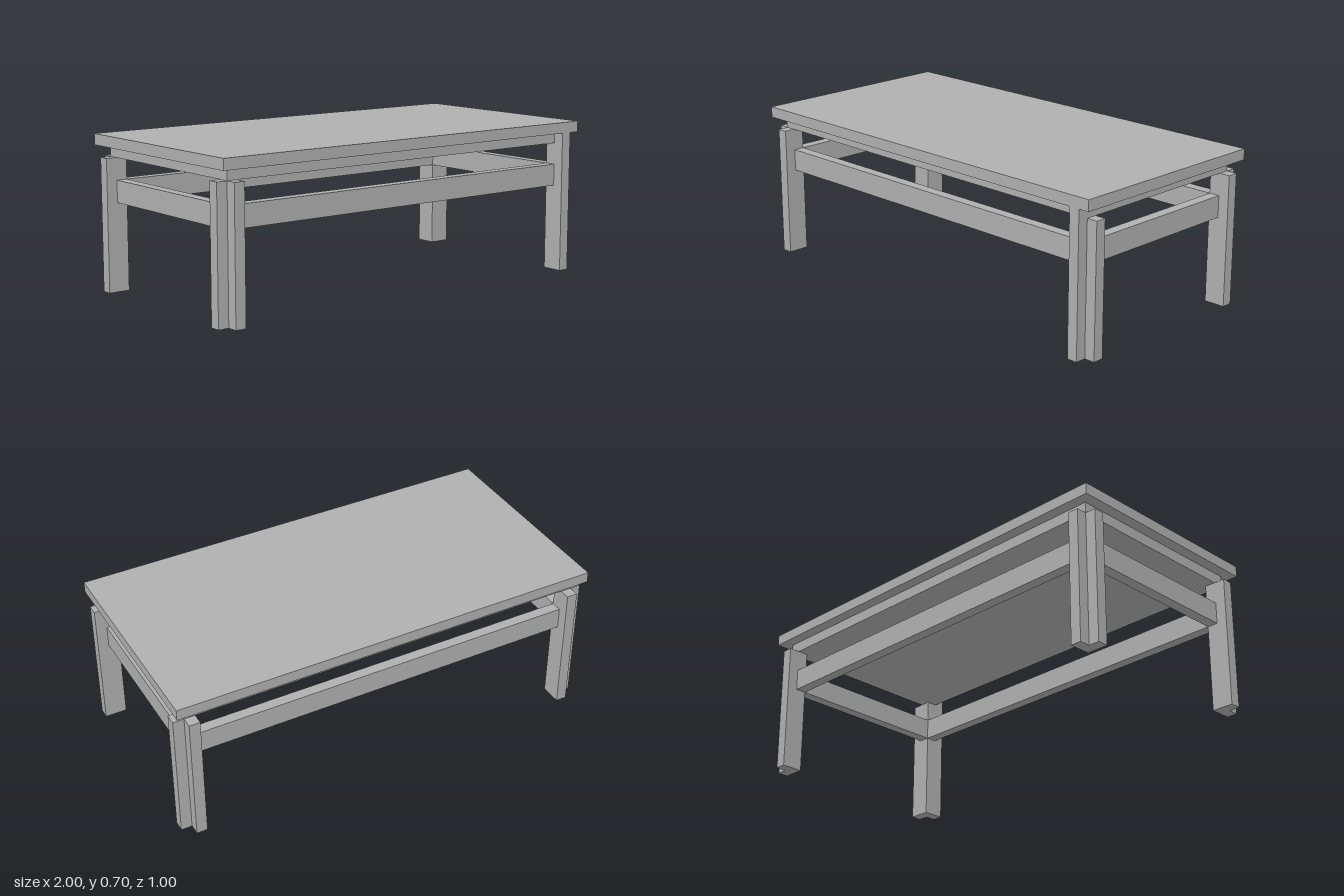
import * as THREE from 'three';

export function createModel() {
  const model = new THREE.Group();
  model.name = 'coffeeTable';
  const grey = new THREE.MeshStandardMaterial({ color: 0xb0b0b0 });
  grey.name = 'plainGrey';

  // box given by its min and max corners
  function box(name, [x0, y0, z0], [x1, y1, z1]) {
    const mesh = new THREE.Mesh(new THREE.BoxGeometry(x1 - x0, y1 - y0, z1 - z0), grey);
    mesh.position.set((x0 + x1) / 2, (y0 + y1) / 2, (z0 + z1) / 2);
    mesh.name = name;
    model.add(mesh);
  }

  // top board and the slightly smaller slab beneath it
  box('tableTop', [-1, 0.65, -0.5], [1, 0.7, 0.5]);
  box('underSlab', [-0.95, 0.6, -0.45], [0.95, 0.65, 0.45]);

  // four legs with an L section, notched at the outer corner
  for (const sx of [-1, 1]) {
    for (const sz of [-1, 1]) {
      const points = [[0.9, 0.4], [1, 0.4], [1, 0.45], [0.95, 0.45], [0.95, 0.5], [0.9, 0.5]];
      // shape y becomes -z once the extrusion is stood upright
      const shape = new THREE.Shape(points.map(([x, z]) => new THREE.Vector2(sx * x, -sz * z)));
      const geometry = new THREE.ExtrudeGeometry(shape, { depth: 0.6, bevelEnabled: false });
      geometry.rotateX(-Math.PI / 2);
      const leg = new THREE.Mesh(geometry, grey);
      leg.name = (sz > 0 ? 'front' : 'back') + (sx > 0 ? 'Left' : 'Right') + 'Leg';
      model.add(leg);
    }
  }

  // one leg bar runs up to the top board
  box('legExtension', [0.9, 0.6, 0.45], [0.95, 0.65, 0.5]);

  // stretcher rails between the legs
  for (const s of [-1, 1]) {
    const inner = s > 0 ? 0 : 0.05;
    const z = s * 0.4 - inner, x = s * 0.9 - inner;
    box(s > 0 ? 'frontRail' : 'backRail', [-0.9, 0.4, z], [0.9, 0.5, z + 0.05]);
    box(s > 0 ? 'leftRail' : 'rightRail', [x, 0.4, -0.4], [x + 0.05, 0.5, 0.4]);
  }

  return model;
}
